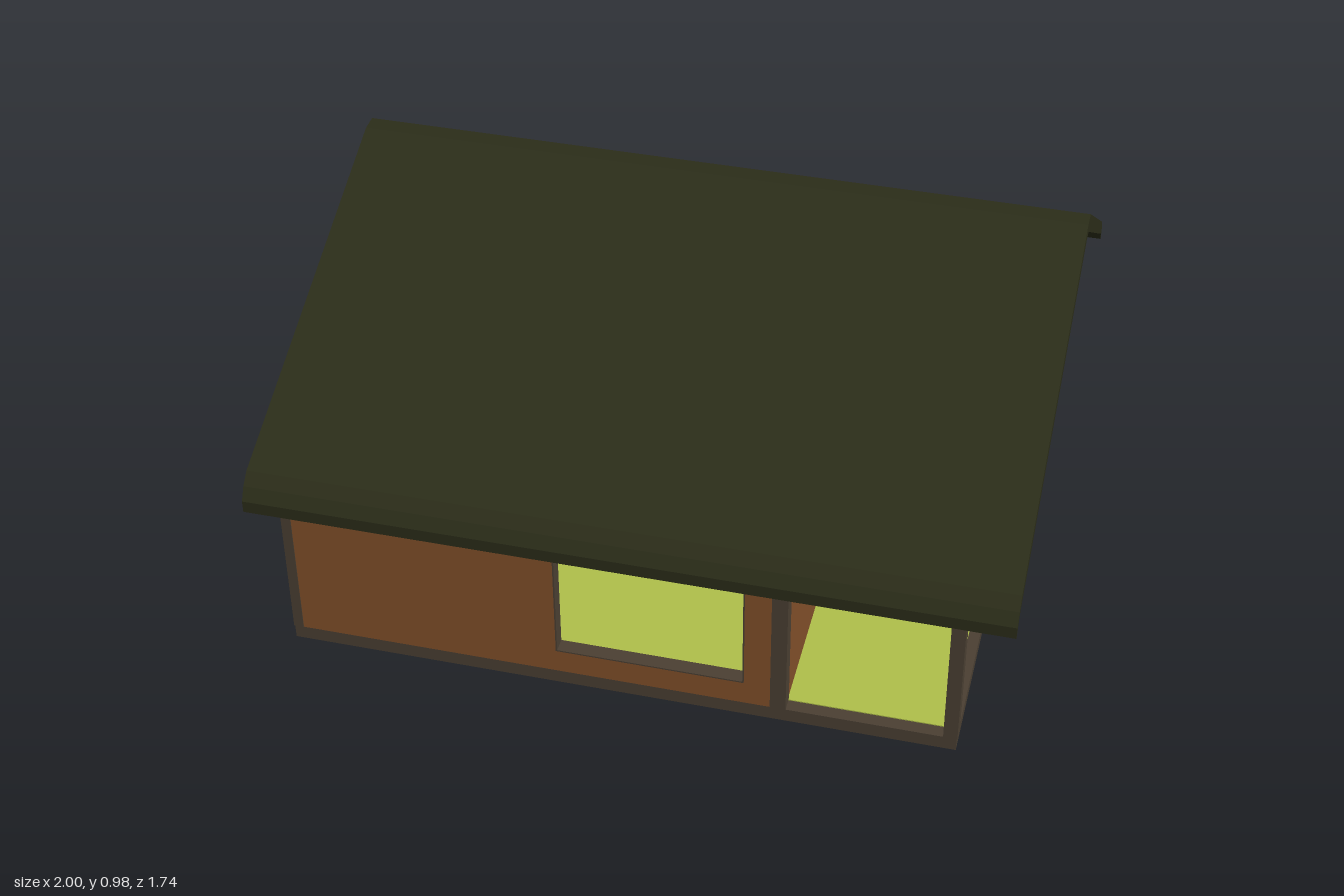
import * as THREE from 'three';

const mat = (color) => new THREE.MeshStandardMaterial({ color, flatShading: true });

export function createModel() {
  const house = new THREE.Group();
  house.name = 'house';
  const brown = mat(0x82502a), timber = mat(0x4b4033), green = mat(0xb0c04a), roofing = mat(0x2b2d19);

  const add = (name, geometry, material) => {
    const mesh = new THREE.Mesh(geometry, material);
    mesh.name = name;
    house.add(mesh);
    return mesh;
  };

  // Box given by its lower and upper corners
  const box = (name, material, x0, x1, y0, y1, z0, z1) =>
    add(name, new THREE.BoxGeometry(x1 - x0, y1 - y0, z1 - z0), material)
      .position.set((x0 + x1) / 2, (y0 + y1) / 2, (z0 + z1) / 2);

  const path = (points) => points.map(([u, v]) => new THREE.Vector2(u, v));
  const rect = ([u0, u1, v0, v1]) => path([[u0, v0], [u1, v0], [u1, v1], [u0, v1]]);

  // Extruded panel with rectangular holes; alongZ turns the outline into the (z, y) plane.
  // "far" is the largest x (alongZ) or the smallest z of the panel.
  const panel = (name, material, outline, holes, depth, far, alongZ) => {
    const shape = new THREE.Shape(outline);
    holes.forEach((h) => shape.holes.push(new THREE.Path(rect(h))));
    const mesh = add(name, new THREE.ExtrudeGeometry(shape, { depth, bevelEnabled: false }), material);
    if (alongZ) {
      mesh.rotation.y = -Math.PI / 2;
      mesh.position.x = far;
    } else mesh.position.z = far;
  };

  // Wall with timber-lined window openings
  const T = 0.04;
  const wall = (name, outline, windows, far, alongZ) => {
    panel(name, brown, outline, windows, T, far, alongZ);
    windows.forEach((w) => {
      const [u0, u1, v0, v1] = w, t = 0.004;
      panel(name + 'WindowLining', timber, rect(w), [[u0 + t, u1 - t, v0 + t, v1 - t]], T, far, alongZ);
    });
  };

  // Base and floor
  box('base', timber, -0.925, 0.87, 0, 0.04, -0.805, 0.81);
  box('floor', green, -0.89, 0.84, 0.038, 0.043, -0.77, 0.775);

  // Front and back walls
  wall('frontWall', rect([-0.925, 0.42, 0.04, 0.54]), [[-0.195, 0.31, 0.11, 0.46]], 0.77, false);
  const backWindow = [0.355, 0.608, 0.14, 0.43];
  wall('backWall', rect([-0.925, 0.87, 0.04, 0.54]), [backWindow, [-0.7, -0.385, 0.14, 0.43]], -0.805, false);
  panel('backWindowSurround', timber, rect([0.258, 0.71, 0.04, 0.52]), [backWindow], 0.004, -0.766, false);

  // Gable walls: the right-hand one of the plan is open below, over the porch
  const slope = [[0.81, 0.55], [-0.2, 0.935], [-0.24, 0.935], [-0.804, 0.545]];
  wall('closedGableWall', path([[-0.804, 0.04], [0.81, 0.04], ...slope]),
    [[-0.43, 0.437, 0.11, 0.44]], -0.885, true);
  wall('porchGableWall', path([[-0.804, 0.04], [-0.2, 0.04], [-0.2, 0.52], [0.81, 0.52], ...slope]),
    [[-0.65, -0.37, 0.165, 0.4]], 0.87, true);

  // Porch side wall
  box('porchWall', brown, 0.38, 0.42, 0.04, 0.53, -0.2, 0.775);

  // Ceiling
  box('ceiling', timber, -0.9, 0.86, 0.52, 0.53, -0.79, 0.8);

  // Posts
  box('porchCornerPost', timber, 0.835, 0.872, 0.04, 0.54, 0.77, 0.812);
  box('porchWallPost', timber, 0.38, 0.422, 0.04, 0.54, 0.77, 0.812);
  box('porchInnerPost', timber, 0.38, 0.465, 0.04, 0.53, -0.24, -0.198);
  box('porchBackPost', timber, 0.79, 0.872, 0.04, 0.53, -0.24, -0.198);
  box('frontCornerPost', timber, -0.927, -0.9, 0.04, 0.54, 0.78, 0.812);
  box('backCornerPost', timber, -0.927, -0.9, 0.04, 0.54, -0.807, -0.77);
  box('backCornerPost', timber, 0.835, 0.872, 0.04, 0.54, -0.807, -0.77);

  // Gable timbers on both ends
  for (const [x0, x1] of [[0.86, 0.873], [-0.928, -0.915]]) {
    box('gablePost', timber, x0, x1, 0.52, 0.935, -0.24, -0.2);
    box('gableBeam', timber, x0, x1, 0.525, 0.557, -0.77, -0.22);
  }

  // Roof with down-turned eaves
  panel('roof', roofing, path([
    [0.87, 0.48], [0.87, 0.515], [0.85, 0.55], [0.82, 0.578], [-0.2, 0.98], [-0.25, 0.98],
    [-0.81, 0.577], [-0.845, 0.55], [-0.868, 0.515], [-0.868, 0.475], [-0.845, 0.51], [-0.8, 0.54],
    [-0.24, 0.93], [-0.2, 0.93], [0.77, 0.555], [0.83, 0.535],
  ]), [], 2, 1, true);

  return house;
}
